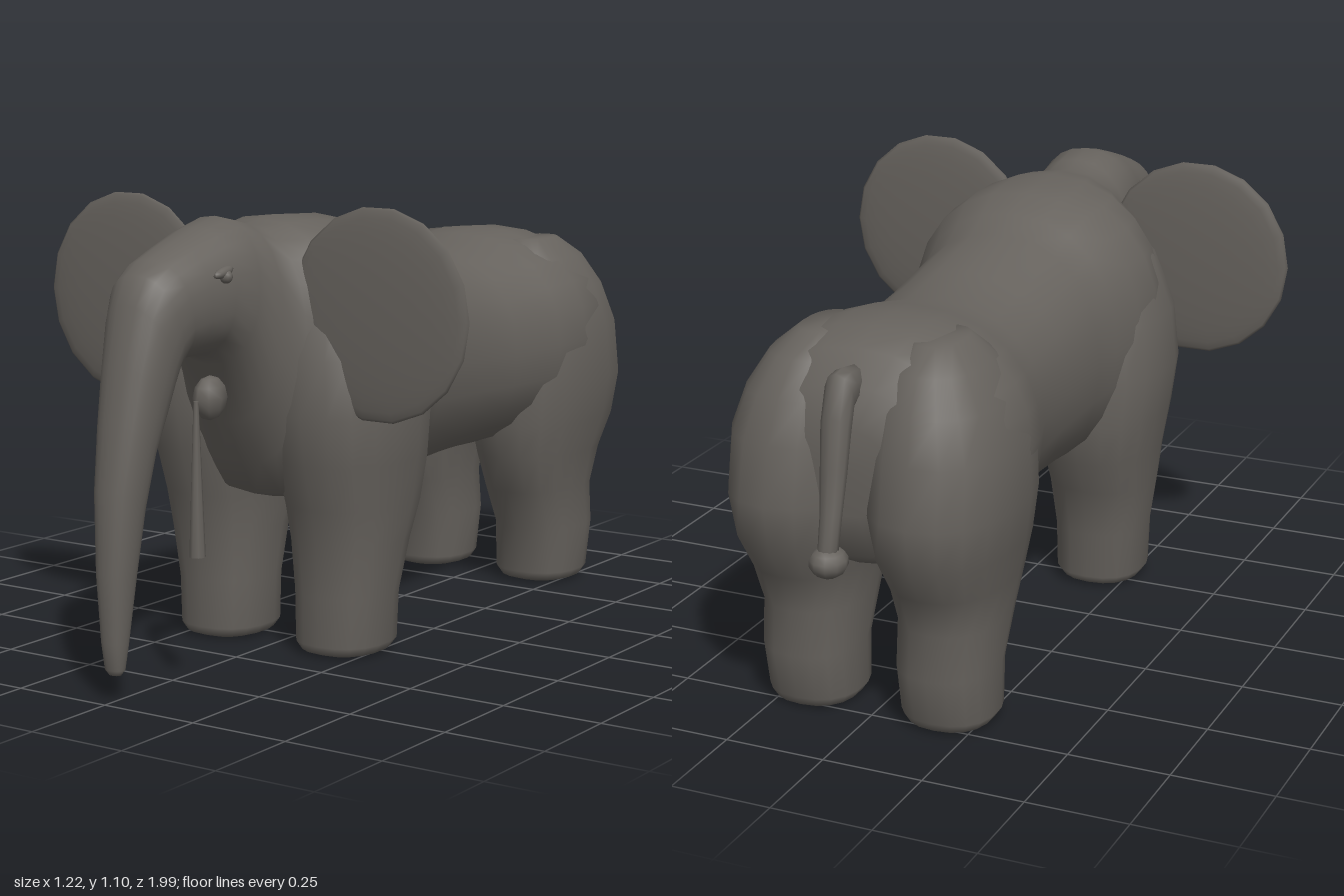
import * as THREE from 'three';

const skin = new THREE.MeshStandardMaterial({ color: 0x66625d });
skin.name = 'warm grey skin';

// Lofts rounded rings; each section is [zA, yA, zB, yB, halfWidth, xCentre]
function loft(sections, sides = 20, power = 0.9) {
  const pos = [], index = [];
  const soft = (v) => Math.sign(v) * Math.abs(v) ** power;
  for (const [zA, yA, zB, yB, w, x = 0] of sections) {
    for (let j = 0; j < sides; j++) {
      const t = (j / sides) * Math.PI * 2, c = soft(Math.cos(t)), s = soft(Math.sin(t));
      pos.push(x + s * w, (yA + yB) / 2 + c * (yA - yB) / 2, (zA + zB) / 2 + c * (zA - zB) / 2);
    }
  }
  const n = sections.length;
  for (let i = 0; i < n - 1; i++) {
    for (let j = 0; j < sides; j++) {
      const k = (j + 1) % sides, a = i * sides, b = a + sides;
      index.push(a + j, b + j, a + k, a + k, b + j, b + k);
    }
  }
  // End caps
  for (const [i, flip] of [[0, false], [n - 1, true]]) {
    const [zA, yA, zB, yB, , x = 0] = sections[i];
    const centre = pos.length / 3;
    pos.push(x, (yA + yB) / 2, (zA + zB) / 2);
    for (let j = 0; j < sides; j++) {
      const a = i * sides + j, b = i * sides + (j + 1) % sides;
      index.push(centre, ...(flip ? [b, a] : [a, b]));
    }
  }
  const g = new THREE.BufferGeometry();
  g.setAttribute('position', new THREE.Float32BufferAttribute(pos, 3));
  g.setIndex(index);
  g.computeVertexNormals();
  return g;
}

// Leg rows run from top to foot: [y, zFront, zBack, xInner, xOuter]
function leg(rows, side) {
  return loft(rows.map(([y, f, b, i, o]) => [f, y, b, y, (o - i) / 2, side * (o + i) / 2]), 18, 0.85);
}

export function createModel() {
  const model = new THREE.Group();
  const add = (name, geometry, x = 0, y = 0, z = 0) => {
    const mesh = new THREE.Mesh(geometry, skin);
    mesh.name = name;
    mesh.position.set(x, y, z);
    model.add(mesh);
    return mesh;
  };

  // Body, rump to neck
  const body = [
    [-0.87, 0.76, -0.87, 0.55, 0.12], [-0.84, 0.85, -0.86, 0.45, 0.22],
    [-0.78, 0.92, -0.8, 0.41, 0.29], [-0.7, 0.95, -0.7, 0.4, 0.335],
    [-0.6, 0.955, -0.6, 0.39, 0.345], [-0.5, 0.945, -0.5, 0.385, 0.325],
    [-0.36, 0.915, -0.36, 0.385, 0.275], [-0.2, 0.94, -0.2, 0.38, 0.268],
    [0, 0.98, 0, 0.365, 0.27], [0.08, 1.015, 0.08, 0.36, 0.285],
    [0.16, 1.05, 0.16, 0.36, 0.315], [0.25, 1.055, 0.25, 0.36, 0.33],
    [0.33, 1.06, 0.34, 0.37, 0.315], [0.39, 1.055, 0.42, 0.39, 0.26],
  ];
  // Head and trunk continue the same skin
  const head = [
    [0.45, 1.045, 0.47, 0.47, 0.185], [0.5, 1.06, 0.53, 0.58, 0.155],
    [0.57, 1.075, 0.6, 0.73, 0.14], [0.65, 1.055, 0.66, 0.76, 0.125],
    [0.74, 1.025, 0.72, 0.76, 0.115], [0.82, 0.995, 0.765, 0.76, 0.108],
    [0.87, 0.965, 0.785, 0.73, 0.1], [0.905, 0.9, 0.795, 0.69, 0.09],
    [0.94, 0.77, 0.815, 0.63, 0.079], [0.965, 0.64, 0.85, 0.55, 0.069],
    [0.99, 0.49, 0.88, 0.43, 0.057], [0.998, 0.3, 0.905, 0.28, 0.043],
    [0.99, 0.14, 0.93, 0.13, 0.031], [0.98, 0.075, 0.942, 0.075, 0.025],
    [0.972, 0.062, 0.95, 0.062, 0.015],
  ];
  add('bodyHeadAndTrunk', loft([...body, ...head], 24));

  const frontLeg = [
    [0.98, 0.37, 0.19, 0.08, 0.2], [0.88, 0.43, 0.13, 0.03, 0.29],
    [0.74, 0.48, 0.08, 0.01, 0.34], [0.6, 0.49, 0.06, 0.01, 0.355],
    [0.48, 0.47, 0.06, 0.02, 0.342], [0.37, 0.44, 0.08, 0.035, 0.326],
    [0.28, 0.42, 0.125, 0.045, 0.315], [0.15, 0.408, 0.155, 0.057, 0.295],
    [0.03, 0.408, 0.158, 0.06, 0.29], [0.008, 0.395, 0.175, 0.075, 0.275], [0, 0.37, 0.2, 0.1, 0.25],
  ];
  const hindLeg = [
    [0.93, -0.56, -0.74, 0.09, 0.2], [0.88, -0.51, -0.81, 0.05, 0.26],
    [0.8, -0.46, -0.865, 0.02, 0.31], [0.7, -0.42, -0.9, 0.005, 0.345],
    [0.56, -0.41, -0.925, 0.005, 0.35], [0.45, -0.42, -0.905, 0.02, 0.335],
    [0.36, -0.44, -0.85, 0.04, 0.315], [0.26, -0.485, -0.81, 0.052, 0.3],
    [0.15, -0.54, -0.822, 0.058, 0.293], [0.03, -0.55, -0.792, 0.06, 0.29],
    [0.008, -0.565, -0.78, 0.075, 0.275], [0, -0.59, -0.755, 0.1, 0.25],
  ];

  for (const [side, label] of [[1, 'left'], [-1, 'right']]) {
    add(label + 'FrontLeg', leg(frontLeg, side));
    add(label + 'HindLeg', leg(hindLeg, side));

    // Broad, thin ear
    const ear = new THREE.SphereGeometry(1, 18, 14).rotateX(Math.PI / 2).scale(0.247, 0.253, 0.022);
    add(label + 'Ear', ear, side * 0.365, 0.852, 0.432);

    // Eye with a small lid
    add(label + 'Eye', new THREE.SphereGeometry(0.016, 10, 8), side * 0.12, 0.952, 0.69);
    const lid = new THREE.SphereGeometry(1, 10, 8).scale(0.012, 0.012, 0.035);
    add(label + 'Eyelid', lid, side * 0.117, 0.962, 0.695).rotation.x = 0.2;

    // Tusk socket and tusk, widening downwards
    const socket = new THREE.SphereGeometry(1, 8, 6).scale(0.033, 0.052, 0.05);
    add(label + 'TuskSocket', socket, side * 0.113, 0.68, 0.745);
    const tusk = new THREE.CylinderGeometry(0.006, 0.019, 0.36, 8);
    add(label + 'Tusk', tusk, side * 0.115, 0.5, 0.8);
  }

  // Tail and tuft
  add('tail', loft([
    [-0.8, 0.8, -0.8, 0.89, 0.03], [-0.84, 0.8, -0.86, 0.9, 0.034],
    [-0.86, 0.79, -0.895, 0.895, 0.036], [-0.875, 0.74, -0.925, 0.8, 0.036],
    [-0.89, 0.66, -0.94, 0.69, 0.032], [-0.91, 0.57, -0.955, 0.58, 0.026],
    [-0.93, 0.48, -0.975, 0.49, 0.024],
  ], 10, 1));
  add('tailTuft', new THREE.SphereGeometry(1, 10, 7).scale(0.045, 0.037, 0.05), 0, 0.468, -0.948);

  return model;
}
